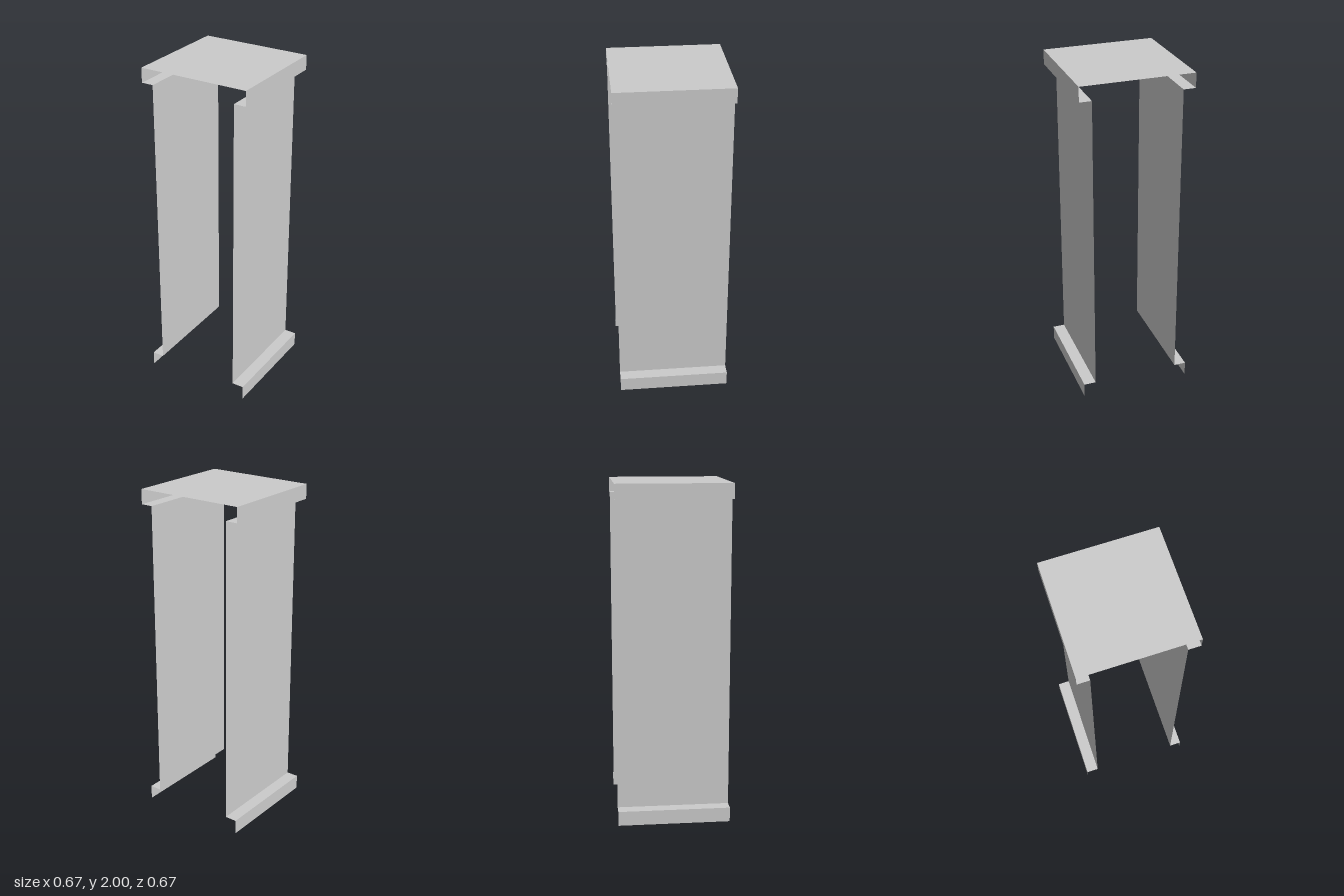
import * as THREE from 'three';

export function createModel() {
  const model = new THREE.Group();
  const material = new THREE.MeshStandardMaterial({
    color: 0xcccccc, flatShading: true, side: THREE.DoubleSide,
  });
  const outer = 0.333, inner = 0.261, depth = 0.666, height = 2, rim = 0.087;

  // Thin sheet spanning the full depth between two points of the x-y profile
  function sheet(name, x0, y0, x1, y1, parent) {
    const geometry = new THREE.PlaneGeometry(Math.hypot(x1 - x0, y1 - y0), depth);
    geometry.rotateX(-Math.PI / 2);
    geometry.rotateZ(Math.atan2(y1 - y0, x1 - x0));
    geometry.translate((x0 + x1) / 2, (y0 + y1) / 2, 0);
    const mesh = new THREE.Mesh(geometry, material);
    mesh.name = name;
    parent.add(mesh);
  }

  // Flat top
  sheet('topPanel', -outer, height, outer, height, model);

  // Recessed side walls with a projecting rim above and below
  for (const [side, s] of [['left', 1], ['right', -1]]) {
    const group = new THREE.Group();
    group.name = side + 'Side';
    sheet('baseRim', s * outer, 0, s * outer, rim, group);
    sheet('baseLedge', s * outer, rim, s * inner, rim, group);
    sheet('wall', s * inner, rim, s * inner, height - rim, group);
    sheet('topLedge', s * inner, height - rim, s * outer, height - rim, group);
    sheet('topRim', s * outer, height - rim, s * outer, height, group);
    model.add(group);
  }
  return model;
}
